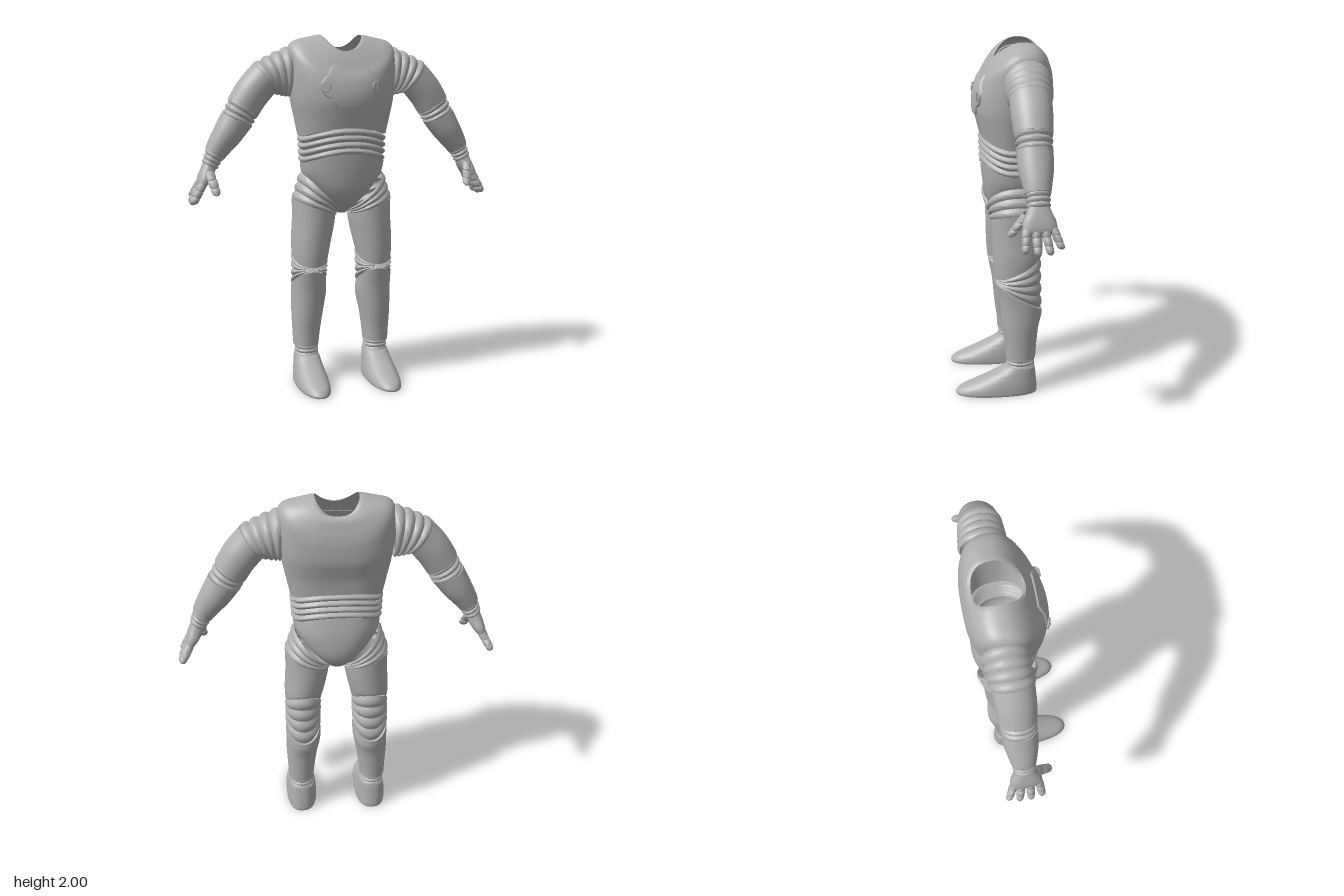
import * as THREE from 'three';
import { toCreasedNormals } from 'three/addons/utils/BufferGeometryUtils.js';

const suitGrey = new THREE.MeshStandardMaterial({ color: 0xb0b0b0, side: THREE.DoubleSide });
suitGrey.name = 'suit grey';

// A cross-section: [x, y, z, halfWidth, halfDepth, roll, tiltX, tiltZ, arch]
const section = (x, y, w, front, back, tiltX = 0, tiltZ = 0, arch = 0) =>
  [x, y, (front + back) / 2, w, (front - back) / 2, 0, tiltX, tiltZ, arch];
const armSection = (x, y, w, d, degrees, z = -0.105) =>
  [x, y, z, w, d, THREE.MathUtils.degToRad(degrees), 0, 0, 0];

// Skin a list of cross-sections, with separate roundness for front and back
function loft(rows, { nf = 2.1, nb = 2.1, segs = 40 } = {}) {
  const pos = [], index = [];
  rows.forEach(([x, y, z, w, d, roll, tx, tz, arch], i) => {
    for (let j = 0; j < segs; j++) {
      const a = (j / segs) * Math.PI * 2, c = Math.cos(a), s = Math.sin(a);
      const p = 2 / (s >= 0 ? nf : nb);
      const u = w * Math.sign(c) * Math.abs(c) ** p;
      const v = d * Math.sign(s) * Math.abs(s) ** p;
      const h = tx * c + tz * s + arch * s * s;
      pos.push(x + u * Math.cos(roll) - h * Math.sin(roll), y + u * Math.sin(roll) + h * Math.cos(roll), z + v);
      if (i < rows.length - 1) {
        const k = i * segs + j, n = i * segs + (j + 1) % segs;
        index.push(k, n, k + segs, n, n + segs, k + segs);
      }
    }
  });
  const g = new THREE.BufferGeometry();
  g.setAttribute('position', new THREE.Float32BufferAttribute(pos, 3));
  g.setIndex(index);
  return toCreasedNormals(g, 0.85);
}

// Catmull-Rom refinement of the cross-sections
function refine(rows, k = 4) {
  const out = [], at = (i) => rows[Math.min(Math.max(i, 0), rows.length - 1)];
  for (let i = 0; i < rows.length - 1; i++) {
    for (let s = 0; s < k; s++) {
      const t = s / k;
      out.push(rows[i].map((b, j) => {
        const a = at(i - 1)[j], c = at(i + 1)[j], d = at(i + 2)[j];
        return b + 0.5 * t * (c - a + t * (2 * a - 5 * b + 4 * c - d + t * (3 * (b - c) + d - a)));
      }));
    }
  }
  out.push(rows[rows.length - 1]);
  return out;
}

const grow = (row, b) => row.map((v, i) => (i === 3 || i === 4 ? v + b : v));

// Smooth shell whose two rims turn inwards
function shell(rows, options) {
  const r = refine(rows);
  return loft([grow(r[0], -0.014), ...r, grow(r[r.length - 1], -0.014)], options);
}

// Flexible joint with rounded ridges between two cross-sections
function pleats(a, b, ridges, bulge, options) {
  const rows = [], n = ridges * 6;
  for (let i = 0; i <= n; i++) {
    const t = i / n;
    rows.push(grow(a.map((v, j) => v + (b[j] - v) * t), bulge * Math.abs(Math.sin(Math.PI * ridges * t))));
  }
  return loft(rows, options);
}

function add(group, name, geometry) {
  const m = new THREE.Mesh(geometry, suitGrey);
  m.name = name;
  group.add(m);
}

// Opposite-side copy of a limb, with the corner order swapped
function mirrored(group, name) {
  const out = new THREE.Group();
  out.name = name;
  for (const m of group.children) {
    const g = m.geometry.clone().scale(-1, 1, 1);
    for (const { array } of [g.attributes.position, g.attributes.normal])
      for (let i = 0; i < array.length; i += 9)
        for (let k = 3; k < 6; k++) [array[i + k], array[i + k + 3]] = [array[i + k + 3], array[i + k]];
    add(out, m.name, g);
  }
  return out;
}

const chestRows = [
  section(0, 2.0, 0.13, 0.045, -0.235, 0, -0.01, -0.08),
  section(0, 1.985, 0.2, 0.075, -0.25, 0, -0.025, -0.1),
  section(0, 1.965, 0.27, 0.1, -0.262, 0, -0.03, -0.125),
  section(0, 1.925, 0.303, 0.125, -0.272, 0, -0.03, -0.125),
  section(0, 1.85, 0.308, 0.14, -0.278, 0, -0.025, -0.095),
  section(0, 1.74, 0.305, 0.148, -0.275, 0, 0, -0.05),
  section(0, 1.64, 0.293, 0.148, -0.26, 0, 0, -0.01),
  section(0, 1.56, 0.277, 0.135, -0.245, 0, 0, 0.01),
  section(0, 1.44, 0.252, 0.115, -0.235, 0, 0, 0.05),
];
const bodyShape = { nf: 2.1, nb: 2.9, segs: 64 };

// Depth of the chest front at (x, y)
function chestZ(x, y) {
  let last = null;
  for (const [, ry, z, w, d, , , tz, arch] of refine(chestRows)) {
    if (w <= Math.abs(x)) continue;
    const c = (Math.abs(x) / w) ** (bodyShape.nf / 2), s = Math.sqrt(1 - c * c);
    const p = [ry + tz * s + arch * s * s, z + d * s ** (2 / bodyShape.nf)];
    if (last && p[0] <= y) return last[1] + (p[1] - last[1]) * (last[0] - y) / (last[0] - p[0]);
    last = p;
  }
  return last[1];
}

function buildTorso() {
  const g = new THREE.Group();
  g.name = 'torso';
  add(g, 'chestShell', shell(chestRows, bodyShape));
  add(g, 'waistPleats', pleats(section(0, 1.437, 0.238, 0.106, -0.224, 0, 0, 0.05),
    section(0, 1.285, 0.23, 0.1, -0.22, 0, 0, 0.055), 4, 0.017, bodyShape));
  add(g, 'pelvis', shell([
    section(0, 1.29, 0.242, 0.11, -0.232, 0, 0, 0.055),
    section(0, 1.22, 0.228, 0.102, -0.252, 0, 0, 0.025),
    section(0, 1.14, 0.175, 0.085, -0.255),
    section(0, 1.07, 0.11, 0.05, -0.235),
    section(0, 1.02, 0.06, 0, -0.19),
    section(0, 0.99, 0.025, -0.05, -0.13),
  ], { nf: 2.2, nb: 2.4, segs: 64 }));

  // Chest panel hugging the body, with a lobe on each side
  const outline = [[1.61, 0.085], [1.63, 0.11], [1.655, 0.118], [1.67, 0.15], [1.695, 0.172], [1.745, 0.172],
    [1.77, 0.15], [1.79, 0.125], [1.81, 0.117], [1.832, 0.095]];
  const top = outline.length;
  const panel = new THREE.PlaneGeometry(2, 1, 24, top + 1);
  const p = panel.attributes.position;
  for (let i = 0; i < p.count; i++) {
    const row = top + 1 - Math.floor(i / 25), u = p.getX(i);
    const [y, w] = outline[Math.min(Math.max(row - 1, 0), top - 1)];
    const rim = row === 0 || row === top + 1 || Math.abs(u) > 0.99;
    p.setXYZ(i, u * w, y, chestZ(u * w, y) + (rim ? -0.006 : 0.009));
  }
  add(g, 'chestPanel', toCreasedNormals(panel, 0.6));

  // Slotted knobs
  for (const s of [-1, 1]) {
    const knob = new THREE.Group();
    knob.name = 'chestKnob';
    add(knob, 'knobRing', new THREE.TorusGeometry(0.026, 0.005, 8, 28));
    add(knob, 'knobDisc', new THREE.CylinderGeometry(0.024, 0.024, 0.012, 28).rotateX(Math.PI / 2));
    add(knob, 'knobGrip', new THREE.BoxGeometry(0.01, 0.044, 0.022));
    knob.position.set(s * 0.145, 1.72, chestZ(0.145, 1.72) + 0.011);
    knob.rotation.y = s * 0.4;
    g.add(knob);
  }
  return g;
}

function buildLeg() {
  const g = new THREE.Group();
  g.name = 'leftLeg';
  add(g, 'hipPleats', pleats(section(0.133, 1.12, 0.1, 0.083, -0.243, 0.105),
    section(0.165, 1.03, 0.118, 0.06, -0.216, 0.045), 3, 0.012));
  add(g, 'thighShell', shell([
    section(0.165, 1.035, 0.124, 0.066, -0.222, 0.045),
    section(0.169, 0.95, 0.119, 0.066, -0.221, 0.02),
    section(0.181, 0.85, 0.114, 0.063, -0.218, 0, -0.01),
    section(0.188, 0.79, 0.107, 0.058, -0.214, 0, -0.04),
    section(0.191, 0.75, 0.101, 0.052, -0.208, 0, -0.065, 0.012),
  ]));
  add(g, 'kneePleats', pleats(section(0.192, 0.745, 0.092, 0.042, -0.198, 0, -0.06, 0.01),
    section(0.195, 0.595, 0.09, 0.034, -0.205, 0, 0.08), 4, 0.012));
  add(g, 'shinShell', shell([
    section(0.196, 0.59, 0.099, 0.048, -0.216, 0, 0.08),
    section(0.195, 0.51, 0.1, 0.026, -0.214, 0, 0.045),
    section(0.205, 0.4, 0.09, 0.01, -0.197),
    section(0.21, 0.3, 0.08, -0.004, -0.186),
    section(0.2125, 0.215, 0.073, -0.01, -0.18),
  ]));
  add(g, 'anklePleats', pleats(section(0.21, 0.218, 0.061, -0.022, -0.168),
    section(0.21, 0.15, 0.061, -0.022, -0.168), 3, 0.008));
  add(g, 'boot', loft([
    section(0.21, 0.162, 0.058, -0.025, -0.165),
    ...refine([
      section(0.21, 0.16, 0.07, -0.005, -0.176),
      section(0.21, 0.135, 0.074, 0.035, -0.18),
      section(0.21, 0.1, 0.08, 0.11, -0.184),
      section(0.21, 0.06, 0.087, 0.205, -0.188),
      section(0.21, 0.035, 0.09, 0.258, -0.19),
      section(0.21, 0.01, 0.091, 0.28, -0.191),
      section(0.21, 0, 0.089, 0.277, -0.189),
    ]),
    section(0.21, 0, 0.001, 0.046, 0.044),
  ], { nf: 2.2, nb: 2.7 }));
  return g;
}

// Jointed finger from a to b
function finger(a, b, r, degrees) {
  const profile = [[0, 0.9], [0.15, 1], [0.31, 1], [0.35, 0.8], [0.39, 1], [0.64, 0.95], [0.68, 0.76], [0.72, 0.93],
    [0.88, 0.85], [0.96, 0.6], [0.995, 0.25], [1, 0.02]];
  return loft(profile.map(([t, k]) => {
    const [x, y, z] = a.map((v, i) => v + (b[i] - v) * t);
    return armSection(x, y, r * k, r * k, degrees, z);
  }), { nf: 2, nb: 2, segs: 16 });
}

function buildArm() {
  const g = new THREE.Group();
  g.name = 'leftArm';
  add(g, 'shoulderPleats', pleats(armSection(0.292, 1.8, 0.13, 0.118, 90, -0.115),
    armSection(0.445, 1.755, 0.094, 0.104, 52), 4, 0.013));
  add(g, 'upperArmShell', shell([
    armSection(0.44, 1.76, 0.1, 0.109, 51),
    armSection(0.51, 1.68, 0.1, 0.106, 47),
    armSection(0.56, 1.602, 0.096, 0.098, 35),
  ]));
  add(g, 'elbowPleats', pleats(armSection(0.555, 1.61, 0.084, 0.088, 37),
    armSection(0.6, 1.525, 0.08, 0.082, 28), 3, 0.011));
  add(g, 'forearmShell', shell([
    armSection(0.598, 1.533, 0.092, 0.093, 27),
    armSection(0.65, 1.455, 0.082, 0.09, 32),
    armSection(0.7, 1.385, 0.068, 0.075, 33),
    armSection(0.725, 1.345, 0.059, 0.066, 33),
  ]));
  add(g, 'wristPleats', pleats(armSection(0.722, 1.35, 0.049, 0.056, 33),
    armSection(0.755, 1.28, 0.04, 0.052, 28), 3, 0.008));
  add(g, 'palm', loft(refine([
    armSection(0.75, 1.29, 0.038, 0.052, 28),
    armSection(0.765, 1.255, 0.039, 0.066, 26),
    armSection(0.782, 1.22, 0.036, 0.083, 25),
    armSection(0.8, 1.185, 0.028, 0.086, 25),
    armSection(0.81, 1.165, 0.016, 0.074, 25),
    armSection(0.812, 1.16, 0.001, 0.001, 25),
  ]), { nf: 2.6, nb: 2.6 }));
  [[-0.04, -0.028, 1.08], [-0.085, -0.09, 1.067], [-0.13, -0.152, 1.07], [-0.172, -0.208, 1.095]].forEach(([z0, z1, y], i) =>
    add(g, 'finger' + (i + 1), finger([0.798, 1.19, z0], [0.862 - (y - 1.067) * 0.4, y, z1], 0.023, 25)));
  add(g, 'thumb', finger([0.765, 1.26, -0.05], [0.732, 1.13, 0.035], 0.027, -12));
  return g;
}

export function createModel() {
  const model = new THREE.Group();
  model.name = 'paddedSuit';
  const leg = buildLeg(), arm = buildArm();
  model.add(buildTorso(), leg, mirrored(leg, 'rightLeg'), arm, mirrored(arm, 'rightArm'));
  return model;
}
